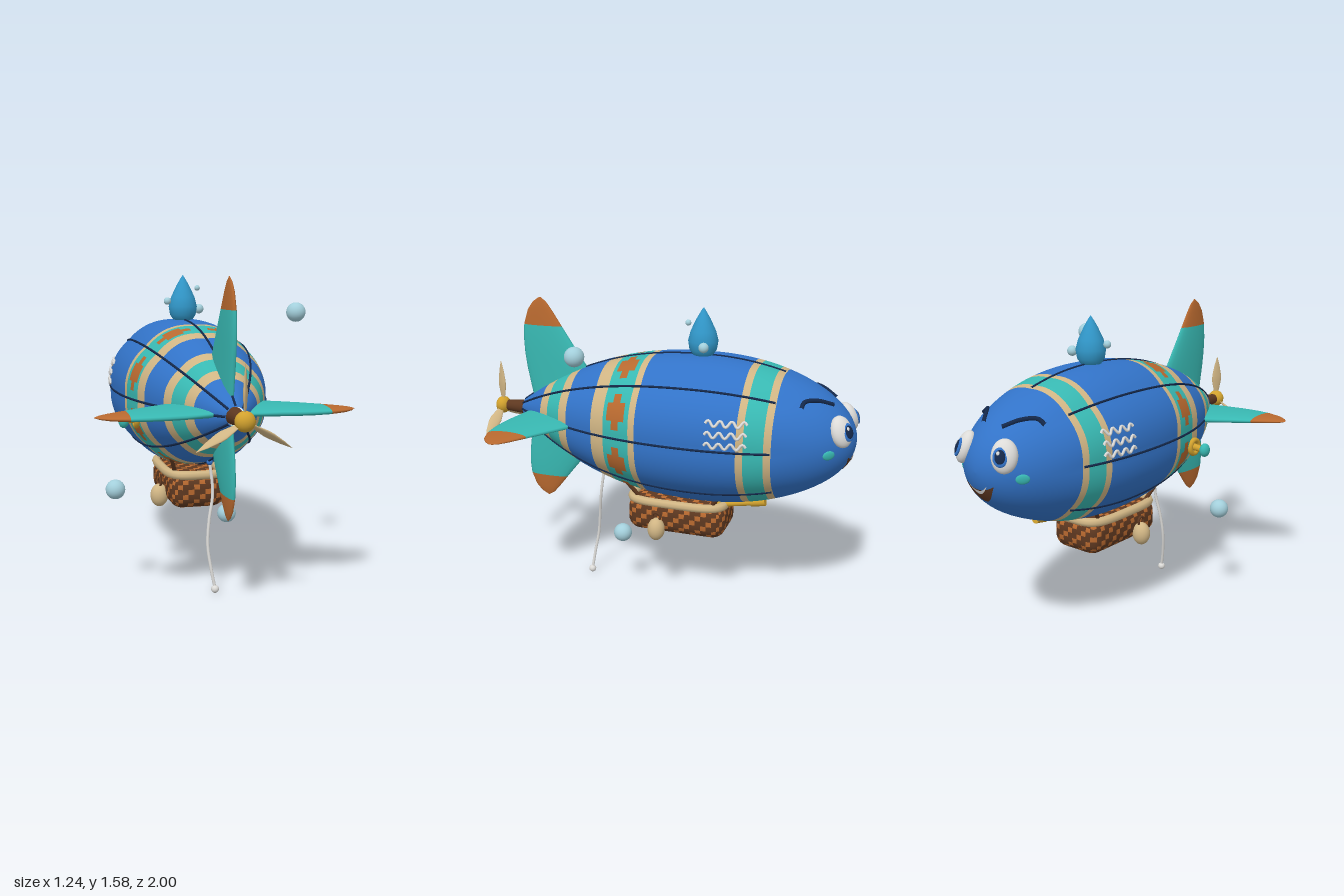
import * as THREE from 'three';

const mat = (name, color, side = THREE.FrontSide) => {
  const m = new THREE.MeshStandardMaterial({ color, side });
  m.name = name;
  return m;
};
const V = (x, y, z) => new THREE.Vector3(x, y, z);
const CY = 0.957, R0 = 0.385, ZM = -0.22; // hull axis height, largest radius and where it lies

// Hull radius along z, and a point on the lobed hull surface
function hullRadius(z) {
  if (z < ZM) return R0 * Math.sqrt(Math.max(0, 1 - ((z - ZM) / 0.78) ** 2));
  return R0 - 0.34 * ((z - ZM) / 1.04) ** 2.3;
}
function hullPoint(a, z, off = 0) {
  const fade = THREE.MathUtils.smoothstep(z, -0.85, -0.5);
  const r = hullRadius(z) * (1 + fade * (0.025 * Math.abs(Math.sin(4 * a)) - 0.012)) + off;
  return V(r * Math.cos(a), CY + r * Math.sin(a), z);
}
const nosePoint = (x, y, off = 0) =>
  V(x, y, ZM - off - 0.78 * Math.sqrt(1 - (x * x + (y - CY) ** 2) / (R0 * R0)));

// Skin closed rings of points; colourOf(row, column) picks the material index
function loft(rows, colourOf, count) {
  const n = rows[0].length, buckets = Array.from({ length: count }, () => []);
  for (let i = 0; i < rows.length - 1; i++) for (let j = 0; j < n; j++) {
    const a = i * n + j, b = i * n + (j + 1) % n;
    buckets[colourOf(i, j)].push(a, b, a + n, b, b + n, a + n);
  }
  const g = new THREE.BufferGeometry().setFromPoints(rows.flat());
  return setBuckets(g, buckets, true);
}
function setBuckets(g, buckets, normals) {
  g.setIndex(buckets.flat());
  if (normals) g.computeVertexNormals();
  g.clearGroups();
  let start = 0;
  buckets.forEach((b, k) => { g.addGroup(start, b.length, k); start += b.length; });
  return g;
}

export function createModel() {
  const root = new THREE.Group();
  root.name = 'airship';
  const blue = mat('hull blue', 0x3273c8), teal = mat('teal', 0x38b8b2), tan = mat('tan', 0xd0b584),
    orange = mat('orange', 0xb8692f), brown = mat('brown', 0x5e3820, THREE.DoubleSide),
    navy = mat('navy', 0x14284a), gold = mat('gold', 0xd2a22e),
    white = mat('white', 0xdcdbd8, THREE.DoubleSide), pale = mat('bubble blue', 0xa3cfdb),
    water = mat('water blue', 0x3197c9);

  const add = (name, geo, material, pos = V(0, 0, 0), parent = root) => {
    const m = new THREE.Mesh(geo, material);
    m.name = name;
    m.position.copy(pos);
    parent.add(m);
    return m;
  };
  const ball = (name, material, pos, sx, sy = sx, sz = sx, parent = root) => {
    const m = add(name, new THREE.SphereGeometry(1, 24, 16), material, pos, parent);
    m.scale.set(sx, sy, sz);
    return m;
  };
  const tube = (name, pts, r, material, closed = false) =>
    add(name, new THREE.TubeGeometry(new THREE.CatmullRomCurve3(pts, closed), closed ? 80 : 40, r, 8, closed), material);
  const rod = (name, a, b, ra, rb, material) => {
    const m = add(name, new THREE.CylinderGeometry(rb, ra, a.distanceTo(b), 16), material, a.clone().lerp(b, 0.5));
    m.quaternion.setFromUnitVectors(V(0, 1, 0), b.clone().sub(a).normalize());
    return m;
  };

  // Hull: bands of end z, colour (0 blue, 1 teal, 2 tan, 3 orange) and steps; motif is its half width in cells
  const bands = [[-0.6, 2, 1], [-0.505, 1, 3], [-0.47, 2, 1], [0.045, 0, 12], [0.08, 2, 1], [0.105, 1, 1],
    [0.135, 1, 1, 2], [0.175, 1, 1, 4], [0.205, 1, 1, 2], [0.225, 1, 1], [0.3, 2, 2], [0.465, 0, 4],
    [0.52, 2, 2], [0.605, 1, 3], [0.66, 2, 2], [0.82, 0, 5]];
  const zs = [], style = [], N = 96;
  for (let k = 0; k <= 16; k++) {
    zs.push(ZM - 0.78 * Math.cos(k / 16 * Math.acos(0.532)));
    if (k) style.push([0, 0]);
  }
  for (const [end, colour, steps, motif = 0] of bands) {
    const from = zs[zs.length - 1];
    for (let k = 1; k <= steps; k++) { zs.push(from + (end - from) * k / steps); style.push([colour, motif]); }
  }
  const hullRows = zs.map(z => Array.from({ length: N }, (_, j) => hullPoint(j / N * Math.PI * 2, z)));
  add('hull', loft(hullRows, (i, j) => Math.abs(j % 12 - 5.5) < style[i][1] ? 3 : style[i][0], 4), [blue, teal, tan, orange]);
  for (let k = 0; k < 8; k++)
    tube('seam', Array.from({ length: 24 }, (_, i) => hullPoint(k * Math.PI / 4, -0.63 + 1.45 * i / 23, 0.001)), 0.006, navy);

  // Tail fins: span, leading z, trailing z, half thickness
  const sections = [[0.06, 0.4, 0.765, 0.028], [0.23, 0.42, 0.797, 0.027], [0.31, 0.475, 0.807, 0.026], [0.39, 0.53, 0.81, 0.024],
    [0.47, 0.583, 0.804, 0.02], [0.55, 0.635, 0.778, 0.014], [0.595, 0.668, 0.745, 0.008], [0.62, 0.7, 0.708, 0.001]];
  for (let k = 0; k < 4; k++) {
    const rows = sections.map(([s, z0, z1, h]) => Array.from({ length: 20 }, (_, j) => {
      const b = -j / 20 * Math.PI * 2;
      return V(s * (k === 3 ? 0.825 : 1), h * Math.sin(b), (z0 + z1) / 2 + (z1 - z0) / 2 * Math.cos(b));
    }));
    add('tailFin', loft(rows, i => i > 3 ? 1 : 0, 2), [teal, orange], V(0, CY, 0)).rotation.z = k * Math.PI / 2;
  }

  // Propeller
  rod('propellerShaft', V(0, CY, 0.79), V(0, CY, 0.94), 0.042, 0.028, brown);
  ball('propellerHub', gold, V(0, CY, 0.96), 0.047, 0.047, 0.04);
  const bladeProfile = [[0.01, 0.02], [0.02, 0.06], [0.031, 0.11], [0.03, 0.14], [0.018, 0.2], [0.001, 0.252]];
  for (let k = 0; k < 3; k++) {
    const arm = new THREE.Group();
    arm.name = 'propellerBlade';
    arm.position.set(0, CY, 0.96);
    arm.rotation.z = k * Math.PI * 2 / 3;
    root.add(arm);
    const blade = add('blade', new THREE.LatheGeometry(bladeProfile.map(p => new THREE.Vector2(...p)), 16), tan, V(0, 0, 0), arm);
    blade.scale.z = 0.3;
    blade.rotation.y = 1.1;
  }

  // Face and side waves, mirrored
  for (const s of [-1, 1]) {
    const eye = new THREE.Group();
    eye.name = 'eye';
    eye.position.copy(nosePoint(s * 0.127, 1.042));
    eye.lookAt(eye.position.clone().add(V(s * 0.857, 0.573, -1.18)));
    root.add(eye);
    ball('eyeball', white, V(0, 0, 0), 0.062, 0.08, 0.042, eye);
    ball('iris', blue, V(s * 0.012, -0.008, 0.033), 0.036, 0.046, 0.012, eye);
    ball('pupil', navy, V(s * 0.013, -0.008, 0.04), 0.025, 0.033, 0.009, eye);
    ball('glint', white, V(s * 0.013 - 0.008, 0.008, 0.046), 0.008, 0.01, 0.005, eye);

    tube('eyebrow', [[0.2, 1.16], [0.165, 1.184], [0.115, 1.183], [0.06, 1.155]].map(([x, y]) => nosePoint(s * x, y, 0.004)), 0.011, navy);

    const cheek = ball('cheek', teal, nosePoint(s * 0.194, 0.937), 0.033, 0.024, 0.009);
    cheek.lookAt(cheek.position.clone().add(V(s * 1.31, -0.13, -1.1)));

    for (let row = 0; row < 3; row++)
      tube('wave', Array.from({ length: 25 }, (_, i) => {
        const y = 0.99 + row * 0.053 + 0.014 * Math.sin(i / 24 * Math.PI * 7), z = -0.32 - 0.2 * i / 24;
        const p = hullPoint(Math.asin((y - CY) / hullRadius(z)), z, 0.006);
        return V(s * p.x, y, z);
      }), 0.007, white);
  }

  // Smiling mouth and teeth, laid on the nose
  const smile = (name, material, w, top, bottom, off) => {
    const g = new THREE.PlaneGeometry(2, 1, 20, 5), p = g.attributes.position;
    for (let i = 0; i < p.count; i++) {
      const u = p.getX(i), v = p.getY(i) + 0.5;
      const q = nosePoint(-w * u, THREE.MathUtils.lerp(bottom + (0.9 - bottom) * u * u, top + (0.9 - top) * u * u, v), off);
      p.setXYZ(i, q.x, q.y, q.z);
    }
    g.computeVertexNormals();
    add(name, g, material);
  };
  smile('mouth', brown, 0.09, 0.872, 0.805, 0.004);
  smile('teeth', white, 0.06, 0.868, 0.85, 0.007);

  // Water drop on top
  const drop = [[0, 1.32], [0.05, 1.335], [0.07, 1.365], [0.077, 1.41], [0.064, 1.46], [0.036, 1.52], [0.016, 1.555], [0.001, 1.578]];
  add('waterDrop', new THREE.LatheGeometry(drop.map(p => new THREE.Vector2(...p)), 24), water, V(0, 0, -0.2));

  // Bubbles: x, y, z, radius
  for (const [x, y, z, r] of [[-0.09, 1.44, -0.18, 0.02], [0.065, 1.51, -0.14, 0.015], [0.098, 1.395, -0.23, 0.026],
    [0.467, 1.395, 0.305, 0.049], [-0.465, 0.53, 0.305, 0.049], [0.14, 0.343, 0.2, 0.049]])
    ball('bubble', pale, V(x, y, z), r);

  // Woven basket: a gridded box with rounded edges and checks
  const basket = new THREE.BoxGeometry(0.3, 0.19, 0.54, 10, 7, 18), bp = basket.attributes.position, rad = 0.07;
  for (let i = 0; i < bp.count; i++) {
    const p = V(0, 0, 0).fromBufferAttribute(bp, i);
    const inner = p.clone().clamp(V(-0.15 + rad, -0.095 + rad, -0.27 + rad), V(0.15 - rad, 0.095 - rad, 0.27 - rad));
    const n = p.sub(inner).normalize();
    basket.attributes.normal.setXYZ(i, n.x, n.y, n.z);
    inner.addScaledVector(n, rad);
    bp.setXYZ(i, inner.x, inner.y, inner.z);
  }
  const checks = [[], []], bi = basket.index.array;
  let quad = 0;
  for (const [cols, rows] of [[18, 7], [18, 7], [10, 18], [10, 18], [10, 7], [10, 7]])
    for (let r = 0; r < rows; r++) for (let c = 0; c < cols; c++, quad++)
      checks[(r + c) % 3 === 0 ? 1 : 0].push(...bi.slice(quad * 6, quad * 6 + 6));
  add('basket', setBuckets(basket, checks, false), [brown, orange], V(0, 0.46, -0.09));
  const rim = Array.from({ length: 32 }, (_, i) => {
    const a = i / 32 * Math.PI * 2, c = Math.cos(a), s = Math.sin(a);
    return V(0.148 * Math.sign(c) * Math.abs(c) ** 0.5, 0.547, -0.09 + 0.258 * Math.sign(s) * Math.abs(s) ** 0.5);
  });
  tube('basketRim', rim, 0.024, tan, true);
  for (const s of [-1, 1]) {
    rod('strut', V(s * 0.112, 0.545, 0.1), V(s * 0.155, 0.66, 0.175), 0.011, 0.011, brown);
    rod('strut', V(s * 0.112, 0.545, -0.28), V(s * 0.155, 0.65, -0.36), 0.011, 0.011, brown);
    ball('sandbag', tan, V(s * 0.178, 0.41, -0.005), 0.048, 0.062, 0.046);
    add('sandbagLoop', new THREE.TorusGeometry(0.022, 0.007, 8, 20), brown, V(s * 0.175, 0.48, -0.005)).rotation.y = Math.PI / 2;
  }

  // Spyglass
  rod('spyglass', V(0.06, 0.548, -0.31), V(0.06, 0.585, -0.5), 0.015, 0.018, gold);
  rod('spyglassEnd', V(0.06, 0.583, -0.49), V(0.06, 0.597, -0.565), 0.022, 0.024, gold);

  // Side valve
  add('valveWheel', new THREE.TorusGeometry(0.036, 0.014, 10, 28), gold, V(-0.345, 0.87, 0.23)).rotation.y = Math.PI / 2;
  rod('valveStem', V(-0.29, 0.875, 0.23), V(-0.4, 0.862, 0.235), 0.02, 0.016, gold);
  ball('valveKnob', teal, V(-0.408, 0.861, 0.236), 0.026, 0.036, 0.032);

  // Mooring rope
  tube('rope', [V(0.005, 0.66, 0.355), V(0.016, 0.5, 0.375), V(-0.008, 0.36, 0.395), V(-0.018, 0.24, 0.41), V(-0.005, 0.12, 0.43), V(0.012, 0.025, 0.442)], 0.008, white);
  ball('ropeWeight', white, V(0.012, 0.02, 0.442), 0.02);
  ball('ropeAnchor', blue, V(0.005, 0.655, 0.355), 0.016);

  return root;
}
